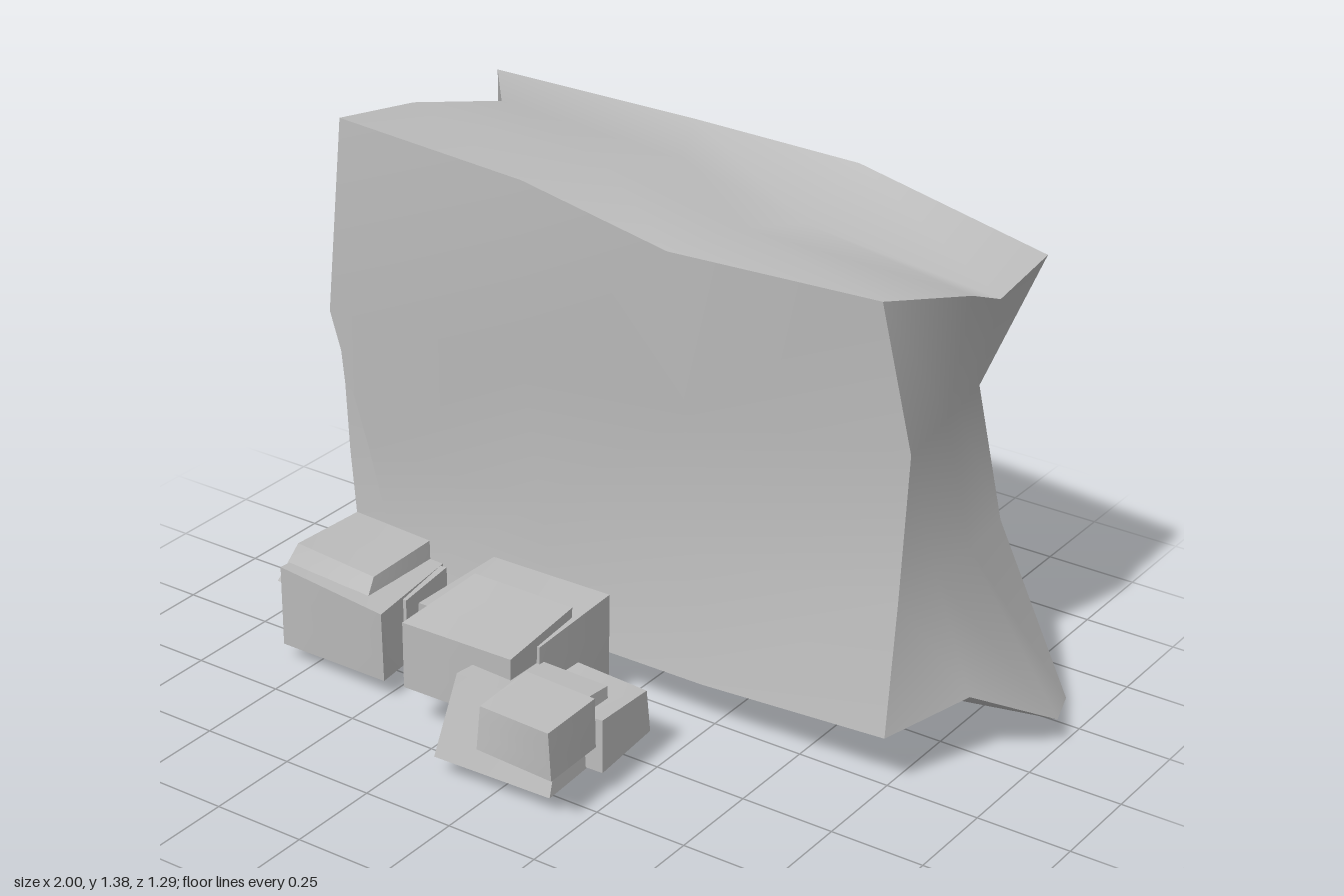
import * as THREE from 'three';

const N = 3; // segments along each edge of a rock

// Builds a six-sided rock from a 4x4x4 lattice skin. Keys are lattice indices
// (x left-right, y down-up, z back-front, each 0..3). Missing edge points are
// interpolated from the corners; face interiors are blended from their edges.
function rockGeometry(points) {
  const mix = (p, q, t) => p.map((v, i) => v + (q[i] - v) * t);
  const swap = (idx, axis, value) => idx.map((v, i) => (i === axis ? value : v));
  const along = (idx, axis) => mix(point(swap(idx, axis, 0)), point(swap(idx, axis, N)), idx[axis] / N);
  function point(idx) {
    const given = points[idx.join('')];
    if (given) return given;
    const open = [0, 1, 2].filter((a) => idx[a] > 0 && idx[a] < N);
    if (open.length === 1) return along(idx, open[0]);
    const [a, b] = open;
    const corner = (i, j) => point(swap(swap(idx, a, i), b, j));
    const s = idx[a] / N, t = idx[b] / N;
    const flat = mix(mix(corner(0, 0), corner(N, 0), s), mix(corner(0, N), corner(N, N), s), t);
    const pa = along(idx, a), pb = along(idx, b);
    return flat.map((v, i) => pa[i] + pb[i] - v);
  }

  // Each side has its own vertices: smooth inside, sharp at the rock's edges
  const pos = [], index = [];
  for (let a = 0; a < 3; a++) {
    const b = (a + 1) % 3, c = (a + 2) % 3;
    for (const side of [0, N]) {
      const base = pos.length / 3;
      for (let i = 0; i <= N; i++) {
        for (let j = 0; j <= N; j++) {
          const idx = [0, 0, 0];
          idx[a] = side; idx[b] = i; idx[c] = j;
          pos.push(...point(idx));
        }
      }
      for (let i = 0; i < N; i++) {
        for (let j = 0; j < N; j++) {
          const p = base + i * (N + 1) + j, q = p + N + 1;
          if (side) index.push(p, q, q + 1, p, q + 1, p + 1);
          else index.push(p, q + 1, q, p, p + 1, q + 1);
        }
      }
    }
  }
  const g = new THREE.BufferGeometry();
  g.setAttribute('position', new THREE.Float32BufferAttribute(pos, 3));
  g.setIndex(index);
  g.computeVertexNormals();
  return g;
}

// Main boulder: corners, edge points and the hollows of its faces
const boulder = {
  // front edges
  '003': [-0.68, 0.15, 0.07], '103': [-0.2, 0.13, 0.04], '203': [0.25, 0.145, 0.06], '303': [0.77, 0.17, 0.055],
  '033': [-0.83, 1.39, 0.07], '133': [-0.29, 1.345, 0.05], '233': [0.12, 1.255, 0.03], '333': [0.7, 1.27, 0.015],
  '013': [-0.81, 0.48, 0.03], '023': [-0.87, 0.87, 0.09], '313': [0.755, 0.5, -0.01], '323': [0.76, 0.88, -0.035],
  // back edges
  '000': [-0.7, 0.15, -0.615], '100': [-0.2, 0.09, -0.6], '200': [0.42, 0.005, -0.57], '300': [0.92, 0.03, -0.575],
  '030': [-0.87, 1.3, -0.62], '130': [-0.23, 1.31, -0.6], '230': [0.29, 1.33, -0.54], '330': [0.795, 1.2, -0.58],
  '010': [-0.85, 0.48, -0.645], '020': [-0.87, 0.88, -0.61], '310': [0.7, 0.46, -0.59], '320': [0.625, 0.81, -0.585],
  // left and right edges running in depth
  '001': [-0.73, 0.04, -0.34], '002': [-0.72, 0.12, -0.1], '031': [-0.69, 1.32, -0.4], '032': [-0.79, 1.365, -0.17],
  '301': [1.0, 0.09, -0.38], '302': [0.87, 0.21, -0.17], '331': [0.8, 1.17, -0.35], '332': [0.82, 1.245, -0.18],
  // right, left and top faces
  '321': [0.67, 0.83, -0.4], '322': [0.74, 0.89, -0.23], '311': [0.72, 0.47, -0.4], '312': [0.745, 0.49, -0.2],
  '021': [-0.87, 0.87, -0.4], '022': [-0.84, 0.88, -0.16], '011': [-0.8, 0.46, -0.4], '012': [-0.78, 0.46, -0.15],
  '231': [0.25, 1.225, -0.36], '232': [0.2, 1.265, -0.17],
};

// Lower block leaning against the boulder's rear corner
const rearBlock = {
  '003': [-0.9, 0.13, -0.03], '303': [-0.3, 0.14, -0.06], '033': [-0.96, 0.84, -0.035], '333': [-0.3, 0.78, -0.06],
  '000': [-1.0, 0.14, -0.56], '300': [-0.25, 0.04, -0.625], '030': [-0.93, 0.82, -0.6], '330': [-0.23, 0.76, -0.635],
  '010': [-0.94, 0.43, -0.575], '020': [-0.93, 0.6, -0.585], '013': [-0.94, 0.4, -0.05], '023': [-0.94, 0.6, -0.04],
  '031': [-0.93, 0.83, -0.37], '001': [-0.93, 0.09, -0.36], '100': [-0.72, 0.08, -0.59], '200': [-0.5, 0.05, -0.61],
  '301': [-0.22, 0.03, -0.36], '302': [-0.25, 0.11, -0.14], '110': [-0.74, 0.4, -0.595],
};

// Small rocks: corners in the order of CORNERS
const CORNERS = ['000', '300', '030', '330', '003', '303', '033', '333'];
const pebbles = {
  leftPebble: [[-0.82, 0.07, 0.11], [-0.5, 0.08, 0.11], [-0.82, 0.26, 0.09], [-0.52, 0.26, 0.1],
    [-0.83, 0.05, 0.37], [-0.485, 0.065, 0.39], [-0.82, 0.28, 0.38], [-0.475, 0.265, 0.405]],
  leftTopPebble: [[-0.8, 0.22, 0.1], [-0.56, 0.22, 0.1], [-0.81, 0.315, 0.085], [-0.565, 0.31, 0.095],
    [-0.84, 0.23, 0.37], [-0.55, 0.22, 0.39], [-0.81, 0.325, 0.32], [-0.565, 0.305, 0.32]],
  leftSidePebble: [[-0.58, 0.08, 0.12], [-0.5, 0.08, 0.11], [-0.58, 0.26, 0.12], [-0.5, 0.26, 0.11],
    [-0.58, 0.08, 0.3], [-0.48, 0.08, 0.3], [-0.56, 0.26, 0.29], [-0.48, 0.255, 0.3]],
  middleRearPebble: [[-0.41, 0.08, 0.06], [-0.03, 0.07, 0.06], [-0.39, 0.3, 0.055], [-0.02, 0.315, 0.07],
    [-0.43, 0.07, 0.34], [-0.02, 0.07, 0.36], [-0.39, 0.305, 0.36], [-0.02, 0.3, 0.36]],
  middlePebble: [[-0.33, 0.12, 0.21], [-0.04, 0.12, 0.21], [-0.33, 0.34, 0.21], [-0.035, 0.335, 0.205],
    [-0.355, 0.13, 0.47], [-0.03, 0.13, 0.465], [-0.35, 0.315, 0.475], [-0.02, 0.32, 0.475]],
  frontPebble: [[-0.15, 0.06, 0.35], [0.17, 0.07, 0.34], [-0.13, 0.26, 0.35], [0.16, 0.24, 0.33],
    [-0.165, 0.06, 0.595], [0.17, 0.055, 0.58], [-0.14, 0.27, 0.53], [0.16, 0.255, 0.51]],
  frontTopPebble: [[0.01, 0.15, 0.46], [0.215, 0.15, 0.455], [0.01, 0.29, 0.455], [0.22, 0.29, 0.465],
    [0.005, 0.165, 0.645], [0.22, 0.15, 0.64], [0.01, 0.28, 0.635], [0.22, 0.285, 0.65]],
  rightPebble: [[-0.02, 0.065, 0.23], [0.215, 0.085, 0.23], [0, 0.205, 0.23], [0.215, 0.205, 0.245],
    [-0.02, 0.06, 0.43], [0.22, 0.07, 0.435], [-0.02, 0.195, 0.425], [0.22, 0.215, 0.435]],
};

export function createModel() {
  const group = new THREE.Group();
  group.name = 'rockFormation';
  const stone = new THREE.MeshStandardMaterial({ color: 0xbcbcbc });
  stone.name = 'stone grey';
  const add = (name, points) => {
    const mesh = new THREE.Mesh(rockGeometry(points), stone);
    mesh.name = name;
    group.add(mesh);
  };
  add('boulder', boulder);
  add('rearBlock', rearBlock);
  for (const [name, corners] of Object.entries(pebbles)) {
    add(name, Object.fromEntries(CORNERS.map((key, i) => [key, corners[i]])));
  }
  return group;
}
